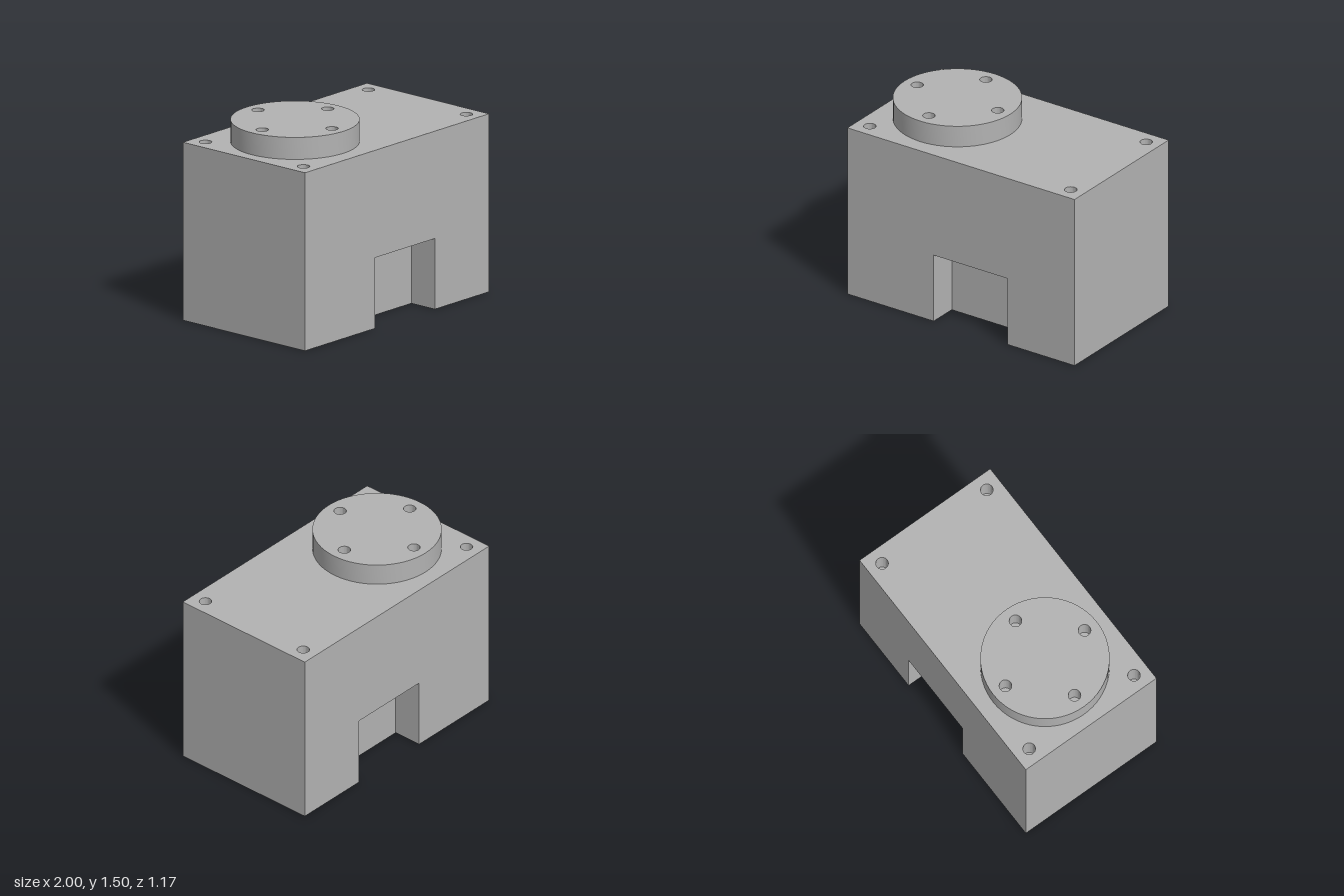
import * as THREE from 'three';
import { toCreasedNormals } from 'three/addons/utils/BufferGeometryUtils.js';

const W = 1, D = 0.586, H = 1.335;              // half width, half depth, height of the block
const TOP = 1.5, DISC_X = -0.445, DISC_R = 0.465;
const HOLE_R = 0.045, BORE_R = 0.295;
const NOTCH = { x0: -0.24, x1: 0.41, h: 0.53, d: 0.225 };
const SEG = 64;

const polygon = (pts) => new THREE.Shape(pts.map(([x, y]) => new THREE.Vector2(x, y)));

function cutHole(shape, x, y, r) {
  const hole = new THREE.Path();
  hole.absarc(x, y, r, 0, Math.PI * 2, true);
  shape.holes.push(hole);
}

export function createModel() {
  const model = new THREE.Group();
  const grey = new THREE.MeshStandardMaterial({ color: 0xb2b2b2, side: THREE.DoubleSide });
  grey.name = 'grey';

  const add = (name, geometry, x = 0, y = 0, z = 0, parent = model) => {
    const mesh = new THREE.Mesh(geometry, grey);
    mesh.name = name;
    mesh.position.set(x, y, z);
    parent.add(mesh);
  };
  const face = (shape) => new THREE.ShapeGeometry(shape, SEG / 2);
  const turned = (profile) => toCreasedNormals(
    new THREE.LatheGeometry(profile.map(([r, y]) => new THREE.Vector2(r, y)), SEG), 0.6);

  const corners = [[1, 1], [1, -1], [-1, 1], [-1, -1]].map(([a, b]) => [a * 0.885, b * 0.47]);
  const discHoles = [[1, 0], [-1, 0], [0, 1], [0, -1]].map(([a, b]) => [a * 0.355, b * 0.355]);
  const { x0, x1, h, d } = NOTCH;

  // Block top, pierced by the corner holes
  const top = polygon([[-W, -D], [W, -D], [W, D], [-W, D]]);
  corners.forEach(([x, z]) => cutHole(top, x, z, HOLE_R));
  add('blockTop', face(top).rotateX(-Math.PI / 2), 0, H);

  // Block underside, with both notches, corner holes and the bore opening
  const bottom = polygon([
    [-W, -D], [x0, -D], [x0, d - D], [x1, d - D], [x1, -D], [W, -D],
    [W, D], [x1, D], [x1, D - d], [x0, D - d], [x0, D], [-W, D]]);
  corners.forEach(([x, z]) => cutHole(bottom, x, z, HOLE_R));
  cutHole(bottom, DISC_X, 0, BORE_R);
  add('blockBottom', face(bottom).rotateX(Math.PI / 2));

  // Block ends
  for (const s of [1, -1]) {
    add('blockEnd', new THREE.PlaneGeometry(2 * D, H).rotateY(s * Math.PI / 2), s * W, H / 2);
  }

  // Front and back walls, each with a rectangular notch
  for (const s of [1, -1]) {
    const wall = polygon([[-W, 0], [x0, 0], [x0, h], [x1, h], [x1, 0], [W, 0], [W, H], [-W, H]]
      .map(([x, y]) => [x * s, y]));
    const turn = s > 0 ? 0 : Math.PI;
    add(s > 0 ? 'frontWall' : 'backWall', face(wall).rotateY(turn), 0, 0, s * D);

    const notch = new THREE.Group();
    notch.name = s > 0 ? 'frontNotch' : 'backNotch';
    model.add(notch);
    const mid = (x0 + x1) / 2, zMid = s * (D - d / 2), w = x1 - x0;
    add('notchWall', new THREE.PlaneGeometry(w, h).rotateY(turn), mid, h / 2, s * (D - d), notch);
    add('notchCeiling', new THREE.PlaneGeometry(w, d).rotateX(Math.PI / 2), mid, h, zMid, notch);
    add('notchSide', new THREE.PlaneGeometry(d, h).rotateY(Math.PI / 2), x0, h / 2, zMid, notch);
    add('notchSide', new THREE.PlaneGeometry(d, h).rotateY(-Math.PI / 2), x1, h / 2, zMid, notch);
  }

  // Round flange with four holes
  const discTop = new THREE.Shape();
  discTop.absarc(0, 0, DISC_R, 0, Math.PI * 2);
  discHoles.forEach(([x, z]) => cutHole(discTop, x, z, HOLE_R));
  add('flangeTop', face(discTop).rotateX(-Math.PI / 2), DISC_X, TOP);
  add('flangeRim', turned([[DISC_R, H], [DISC_R, TOP]]), DISC_X);

  // Blind holes
  const holeDown = turned([[HOLE_R, 0], [HOLE_R, -0.2], [0, -0.2]]);
  const holeUp = turned([[0, 0.2], [HOLE_R, 0.2], [HOLE_R, 0]]);
  for (const [x, z] of corners) {
    add('cornerHole', holeDown, x, H, z);
    add('cornerHole', holeUp, x, 0, z);
  }
  for (const [x, z] of discHoles) add('flangeHole', holeDown, DISC_X + x, TOP, z);

  // Stepped bore in the underside
  add('steppedBore', turned([[0, 0.19], [0.16, 0.19], [0.16, 0.062], [BORE_R, 0.062], [BORE_R, 0]]), DISC_X);

  return model;
}
